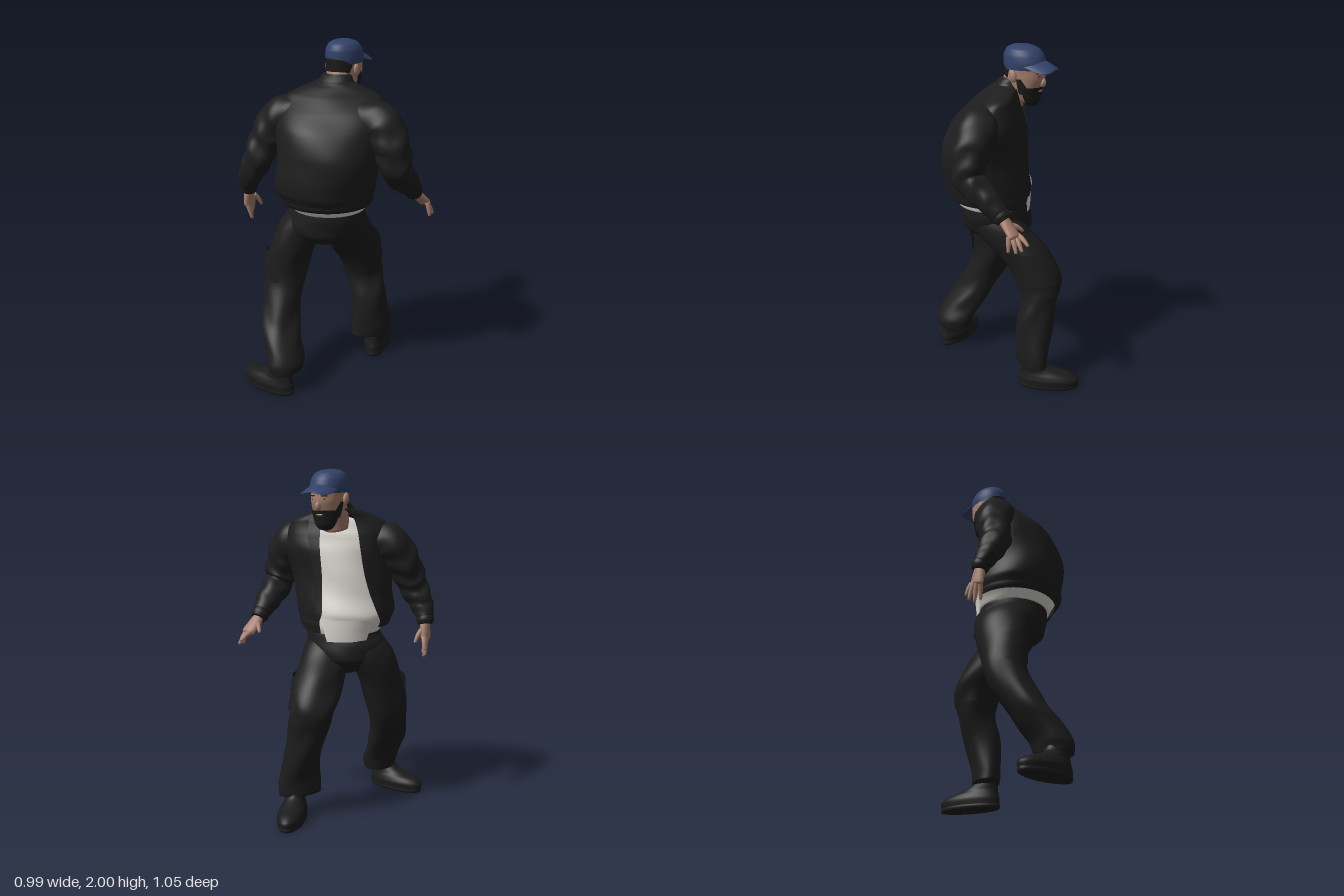
import * as THREE from 'three';

const mat = (name, color) => {
  const m = new THREE.MeshStandardMaterial({ color, side: THREE.DoubleSide });
  m.name = name;
  return m;
};
const V = (x, y, z) => new THREE.Vector3(x, y, z);
const UP = V(0, 1, 0);

// Smooth skin through sections [x, y, z, radiusA, radiusB, yaw].
// upright: level sections listed bottom to top; otherwise sections follow the path.
function loft(secs, { upright = true, rows = 40, cols = 40, arc = null, fold = 0, freq = 3, grow = 0, caps = true } = {}) {
  const path = new THREE.CatmullRomCurve3(secs.map(s => V(s[0], s[1], s[2])));
  const size = new THREE.CatmullRomCurve3(secs.map(s => V(s[3], s[4] ?? s[3], s[5] ?? 0)));
  const pos = [], idx = [], n = arc ? cols + 1 : cols;
  for (let i = 0; i <= rows; i++) {
    const t = i / rows, c = path.getPoint(t), s = size.getPoint(t);
    const T = upright ? UP.clone() : path.getTangent(t);
    const X = upright ? V(Math.cos(s.z), 0, -Math.sin(s.z)) : V(1, 0, 0).addScaledVector(T, -T.x).normalize();
    const Z = X.clone().cross(T);
    const [a0, a1] = arc ? arc(t) : [0, Math.PI * 2];
    for (let j = 0; j < n; j++) {
      const a = a0 + (a1 - a0) * j / cols;
      const f = fold * Math.sin(t * Math.PI) * (Math.sin(t * freq * 6.28 + 1.8 * Math.sin(a * 2)) + 0.6 * Math.sin(a * 5 + t * 7));
      const p = c.clone().addScaledVector(X, Math.cos(a) * (s.x + grow + f)).addScaledVector(Z, Math.sin(a) * (s.y + grow + f));
      pos.push(p.x, p.y, p.z);
    }
  }
  for (let i = 0; i < rows; i++) for (let j = 0; j < cols; j++) {
    const a = i * n + j, b = i * n + (j + 1) % n, c = a + n, d = b + n;
    idx.push(a, c, b, b, c, d);
  }
  if (!arc && caps) for (const [row, t] of [[0, 0], [rows, 1]]) {
    const c = path.getPoint(t), k = pos.length / 3;
    pos.push(c.x, c.y, c.z);
    for (let j = 0; j < n; j++) {
      const a = row * n + j, b = row * n + (j + 1) % n;
      row ? idx.push(a, k, b) : idx.push(a, b, k);
    }
  }
  const g = new THREE.BufferGeometry();
  g.setAttribute('position', new THREE.Float32BufferAttribute(pos, 3));
  g.setIndex(idx);
  g.computeVertexNormals();
  return g;
}

export function createModel() {
  const root = new THREE.Group();
  const cloth = mat('black cloth', 0x1d1d1d), trouser = mat('black trousers', 0x1c1c1c), leather = mat('shoe black', 0x1b1b1b);
  const hair = mat('dark hair', 0x1b1a19), blue = mat('blue cap', 0x324169);
  const skin = mat('skin', 0xa67f6d), white = mat('white shirt', 0xdedad3);
  const add = (name, geo, m) => {
    const mesh = new THREE.Mesh(geo, m);
    mesh.name = name;
    root.add(mesh);
    return mesh;
  };
  const ball = (name, m, x, y, z, a, b, c) => {
    const e = add(name, new THREE.SphereGeometry(1, 24, 16), m);
    e.position.set(x, y, z);
    e.scale.set(a, b, c);
    return e;
  };
  const limb = (name, pts, m, o = {}) => add(name, loft(pts, { upright: false, ...o }), m);

  // Jacket body, turned towards the front left and open down the chest
  const yaw = 0.47, F = -Math.PI / 2;
  const torso = [
    [0, 1.15, 0.085, 0.27, 0.245, yaw], [0, 1.2, 0.095, 0.283, 0.258, yaw],
    [0.02, 1.3, 0.105, 0.288, 0.255, yaw], [0.03, 1.42, 0.1, 0.293, 0.245, yaw],
    [0.03, 1.55, 0.075, 0.31, 0.215, yaw], [0.022, 1.64, 0.05, 0.305, 0.165, yaw],
    [0.01, 1.715, 0.02, 0.255, 0.108, yaw], [-0.008, 1.76, -0.005, 0.16, 0.085, 0.42],
    [-0.015, 1.785, -0.025, 0.095, 0.075, 0.3]
  ];
  const gapL = t => 0.62 - 0.25 * Math.sin(t * 2.6) + 0.12 * t + 0.28 * (1 - t) ** 3;
  const gapR = t => 0.5 - 0.25 * Math.sin(t * 2.6) + 0.12 * t;
  add('jacketBody', loft(torso, { arc: t => [F + gapR(t), F + Math.PI * 2 - gapL(t)], rows: 60, cols: 72, fold: 0.006 }), cloth);
  add('jacketLapelLeft', loft(torso, { arc: t => [F + gapR(t) - 0.02, F + gapR(t) + 0.12 + 0.25 * t * t], cols: 6, grow: 0.01 }), cloth);
  add('jacketLapelRight', loft(torso, { arc: t => [F - gapL(t) - 0.12 - 0.25 * t * t, F - gapL(t) + 0.02 + 0.1 * t * t], cols: 6, grow: 0.01 }), cloth);
  add('jacketHem', loft([[0, 1.112, 0.08, 0.257, 0.234, yaw], [0, 1.135, 0.083, 0.268, 0.243, yaw], [0, 1.165, 0.088, 0.27, 0.244, yaw]],
    { arc: () => [F + 0.5, F + Math.PI * 2 - 0.9], rows: 8, cols: 60 }), cloth);
  add('jacketHemFront', loft([[0, 1.08, 0.08, 0.25, 0.228, yaw], [0, 1.135, 0.083, 0.268, 0.243, yaw]],
    { arc: t => [F + 0.5, F + 0.9 + 0.4 * t], rows: 8, cols: 12 }), cloth);
  add('jacketCollar', loft([[-0.012, 1.745, -0.012, 0.135, 0.09, 0.35], [-0.014, 1.78, -0.026, 0.103, 0.08, 0.3], [-0.016, 1.808, -0.04, 0.087, 0.066, 0.2], [-0.018, 1.822, -0.05, 0.072, 0.06, 0.1]],
    { arc: t => [F + 0.7 + 0.5 * t, F + Math.PI * 2 - 0.8 - 0.5 * t], rows: 12 }), cloth);

  // Shirt under the jacket, its front tail hanging over the waistband
  const shirt = torso.slice(0, 6).map(([x, y, z, a, b, r], i) => [x, y, z, a * 0.94, b * (0.95 - 0.018 * i), r]);
  add('shirt', loft([[0.005, 1.075, 0.068, 0.212, 0.203, yaw], [0.003, 1.1, 0.073, 0.225, 0.215, yaw], ...shirt,
    [0, 1.695, 0.015, 0.2, 0.085, yaw], [-0.01, 1.73, -0.01, 0.07, 0.05, 0.4]], { fold: 0.004, freq: 4 }), white);
  add('shirtTail', loft([[0.003, 1.035, 0.066, 0.222, 0.21, yaw], [0.003, 1.09, 0.072, 0.23, 0.22, yaw], [0.001, 1.16, 0.085, 0.252, 0.235, yaw]],
    { arc: t => [F - 0.72 - 0.1 * t, F + 0.35 + 0.15 * t], rows: 12, cols: 24 }), white);

  // Sleeves with ribbed cuffs
  const sleeves = {
    Left: [[0.16, 1.61, 0.02, 0.09], [0.295, 1.583, -0.01, 0.118], [0.372, 1.47, -0.005, 0.106], [0.4, 1.34, -0.022, 0.088], [0.4, 1.25, -0.125, 0.073], [0.4, 1.175, -0.205, 0.052]],
    Right: [[-0.12, 1.61, 0.13, 0.09], [-0.243, 1.585, 0.165, 0.11], [-0.315, 1.47, 0.215, 0.096], [-0.352, 1.34, 0.265, 0.085], [-0.408, 1.23, 0.27, 0.068], [-0.442, 1.155, 0.248, 0.05]]
  };
  for (const side in sleeves) limb('sleeve' + side, sleeves[side], cloth, { rows: 64, fold: 0.005, freq: 6 });
  limb('cuffLeft', [[0.4, 1.19, -0.19, 0.05], [0.4, 1.165, -0.215, 0.053], [0.401, 1.145, -0.235, 0.043]], cloth, { rows: 10 });
  limb('cuffRight', [[-0.438, 1.17, 0.25, 0.048], [-0.444, 1.145, 0.245, 0.051], [-0.449, 1.12, 0.24, 0.041]], cloth, { rows: 10 });

  // Hands: palm plus fingers given as knuckle and tip
  const hand = (side, palm, fingers) => {
    limb('palm' + side, palm, skin, { rows: 12, cols: 20 });
    fingers.forEach(([k, t], i) => {
      const mid = k.map((v, q) => (v + t[q]) / 2 + (q === 1 ? 0.008 : 0));
      limb((i ? 'finger' : 'thumb') + side, [[...k, 0.015], [...mid, 0.0135], [...t, 0.008]], skin, { rows: 10, cols: 12 });
    });
  };
  hand('Left', [[0.4, 1.16, -0.22, 0.03], [0.407, 1.12, -0.26, 0.04, 0.025], [0.42, 1.075, -0.305, 0.044, 0.022], [0.423, 1.065, -0.315, 0.03, 0.012]], [
    [[0.385, 1.12, -0.26], [0.335, 1.08, -0.31]], [[0.39, 1.08, -0.3], [0.412, 1.035, -0.385]],
    [[0.413, 1.075, -0.305], [0.442, 1.01, -0.365]], [[0.435, 1.075, -0.3], [0.46, 1.0, -0.34]], [[0.45, 1.08, -0.29], [0.465, 1.0, -0.295]]
  ]);
  hand('Right', [[-0.442, 1.14, 0.242, 0.03], [-0.45, 1.09, 0.237, 0.025, 0.04], [-0.456, 1.04, 0.23, 0.022, 0.044], [-0.458, 1.03, 0.228, 0.012, 0.03]], [
    [[-0.44, 1.09, 0.21], [-0.42, 1.02, 0.165]], [[-0.46, 1.05, 0.198], [-0.48, 0.98, 0.172]],
    [[-0.462, 1.045, 0.215], [-0.475, 0.95, 0.19]], [[-0.46, 1.045, 0.237], [-0.455, 0.935, 0.212]], [[-0.455, 1.05, 0.257], [-0.435, 0.95, 0.24]]
  ]);

  // Trousers: seat and two striding legs
  add('trouserSeat', loft([[-0.035, 0.83, 0.03, 0.05, 0.05, 0.5], [-0.04, 0.865, 0.045, 0.13, 0.13, 0.5], [-0.03, 0.93, 0.06, 0.205, 0.2, yaw],
    [-0.02, 1, 0.065, 0.228, 0.205, yaw], [0, 1.06, 0.068, 0.215, 0.196, yaw], [0.005, 1.1, 0.07, 0.205, 0.19, yaw]], { fold: 0.002 }), trouser);
  add('trouserLegRight', loft([[-0.06, 0.14, 0.405, 0.088, 0.113], [-0.067, 0.2, 0.4, 0.1, 0.124], [-0.12, 0.3, 0.36, 0.102, 0.125], [-0.178, 0.42, 0.3, 0.107, 0.122],
    [-0.215, 0.6, 0.215, 0.118, 0.122], [-0.192, 0.8, 0.165, 0.122, 0.152], [-0.142, 0.95, 0.112, 0.137, 0.168], [-0.085, 1.06, 0.09, 0.12, 0.145]],
    { rows: 70, fold: 0.0045, freq: 4 }), trouser);
  add('trouserLegLeft', loft([[0.103, 0.14, -0.25, 0.076, 0.13, -0.6], [0.103, 0.22, -0.25, 0.082, 0.128, -0.55], [0.076, 0.4, -0.257, 0.105, 0.11, -0.4], [0.025, 0.58, -0.26, 0.125, 0.118],
    [0.015, 0.7, -0.222, 0.135, 0.147], [0.04, 0.84, -0.115, 0.137, 0.175], [0.06, 0.96, 0, 0.138, 0.175], [0.065, 1.06, 0.05, 0.12, 0.145]],
    { rows: 70, fold: 0.0045, freq: 4 }), trouser);

  // Cargo pockets wrapped on the outer thighs
  const legPocket = (side, secs, mid) => {
    add('cargoPocket' + side, loft(secs, { arc: () => [mid - 0.75, mid + 0.75], rows: 12, cols: 16, grow: 0.01 }), trouser);
    add('cargoFlap' + side, loft(secs.slice(1), { arc: () => [mid - 0.8, mid + 0.8], rows: 6, cols: 16, grow: 0.016 }), trouser);
  };
  legPocket('Right', [[-0.212, 0.63, 0.204, 0.118, 0.124], [-0.202, 0.74, 0.182, 0.121, 0.14], [-0.192, 0.8, 0.165, 0.122, 0.152]], 1.95);
  legPocket('Left', [[0.015, 0.66, -0.24, 0.134, 0.135], [0.022, 0.76, -0.18, 0.136, 0.155], [0.04, 0.84, -0.115, 0.137, 0.175]], -0.6);

  // Shoes: long sections at the sole rising to the ankle; toe points along local -z
  const shoe = (side, x, z, r) => {
    const at = (y, back, w, l) => [x + Math.sin(r) * back, y, z + Math.cos(r) * back, w, l, r];
    add('shoe' + side, loft([at(0.02, 0, 0.076, 0.178), at(0.05, -0.002, 0.08, 0.18), at(0.08, 0.012, 0.072, 0.16),
      at(0.105, 0.05, 0.06, 0.118), at(0.14, 0.085, 0.054, 0.08), at(0.19, 0.09, 0.05, 0.07)], { rows: 24 }), leather);
    add('sole' + side, loft([at(0, 0, 0.073, 0.176), at(0.012, 0, 0.078, 0.181), at(0.026, 0, 0.076, 0.178)], { rows: 6 }), leather);
  };
  shoe('Right', -0.165, 0.437, 1.52);
  shoe('Left', 0.085, -0.355, 0.38);

  // Head and neck
  const head = [[-0.02, 1.672, -0.157, 0.025, 0.03], [-0.02, 1.7, -0.148, 0.056, 0.056], [-0.02, 1.76, -0.134, 0.079, 0.08],
    [-0.02, 1.83, -0.13, 0.088, 0.108], [-0.02, 1.9, -0.122, 0.093, 0.112], [-0.02, 1.95, -0.115, 0.06, 0.08]];
  add('head', loft(head), skin);
  limb('neck', [[-0.01, 1.68, -0.03, 0.08], [-0.015, 1.76, -0.06, 0.077], [-0.02, 1.84, -0.09, 0.08]], skin, { rows: 12 });
  ball('nose', skin, -0.02, 1.802, -0.231, 0.016, 0.026, 0.02);
  for (const s of [-1, 1]) {
    ball('ear', skin, -0.02 + s * 0.097, 1.84, -0.1, 0.015, 0.034, 0.022).rotation.x = 0.25;
    ball('eyebrow', hair, -0.02 + s * 0.038, 1.858, -0.227, 0.022, 0.004, 0.006).rotation.y = -s * 0.35;
    ball('eye', hair, -0.02 + s * 0.036, 1.84, -0.226, 0.01, 0.003, 0.005);
    add('sideburn', loft([[-0.02, 1.74, -0.137, 0.072, 0.075], [-0.02, 1.78, -0.133, 0.082, 0.088], [-0.02, 1.825, -0.13, 0.088, 0.107]],
      { arc: t => s > 0 ? [-0.75 + 0.6 * t, 0.12] : [Math.PI - 0.12, Math.PI + 0.75 - 0.6 * t], rows: 16, cols: 6, grow: 0.005 }), hair);
  }
  add('beard', loft([...head.slice(0, 3), [-0.02, 1.778, -0.133, 0.081, 0.086]], { arc: t => [F - 1.5 + 0.1 * t, F + 1.5 - 0.1 * t], rows: 20, grow: 0.006 }), hair);
  ball('chinBeard', hair, -0.02, 1.69, -0.156, 0.046, 0.024, 0.044);
  ball('lips', skin, -0.02, 1.755, -0.217, 0.022, 0.006, 0.006);
  add('backHair', loft([[-0.02, 1.805, -0.105, 0.08, 0.092], [-0.02, 1.84, -0.114, 0.089, 0.108], [-0.02, 1.89, -0.117, 0.094, 0.114]],
    { arc: t => [0.6 - 0.25 * t, Math.PI - 0.6 + 0.25 * t], rows: 12, grow: 0.004 }), hair);

  // Cap: crown running down into a bent brim, with the strap opening at the back
  const crown = [[-0.02, 1.873, -0.119, 0.098, 0.119], [-0.02, 1.905, -0.12, 0.101, 0.121], [-0.02, 1.945, -0.114, 0.096, 0.114],
    [-0.02, 1.978, -0.108, 0.078, 0.092], [-0.02, 1.995, -0.102, 0.044, 0.054], [-0.02, 2, -0.1, 0.004, 0.004]];
  add('capCrown', loft(crown, { rows: 30, caps: false }), blue);
  add('capOpeningHair', loft(crown.slice(0, 2), {
    arc: t => { const w = 1 * Math.sqrt(1 - t * t) + 0.01; return [Math.PI / 2 - w, Math.PI / 2 + w]; },
    rows: 24, cols: 24, grow: 0.003
  }), hair);
  const brim = new THREE.SphereGeometry(1, 40, 24), bp = brim.attributes.position;
  for (let i = 0; i < bp.count; i++) {
    const x = bp.getX(i), z = bp.getZ(i), y = bp.getY(i);
    const square = 1 + 0.16 * (2 * x * z) ** 2;
    const bx = x * square * 0.092, bz = z * square * 0.13;
    bp.setXYZ(i, bx, y * 0.015 - 4 * bx * bx + 0.26 * bz - 0.6 * bz * bz, bz);
  }
  brim.computeVertexNormals();
  add('capBrim', brim, blue).position.set(-0.018, 1.922, -0.18);
  ball('capButton', blue, -0.02, 1.996, -0.1, 0.01, 0.004, 0.01);
  return root;
}
